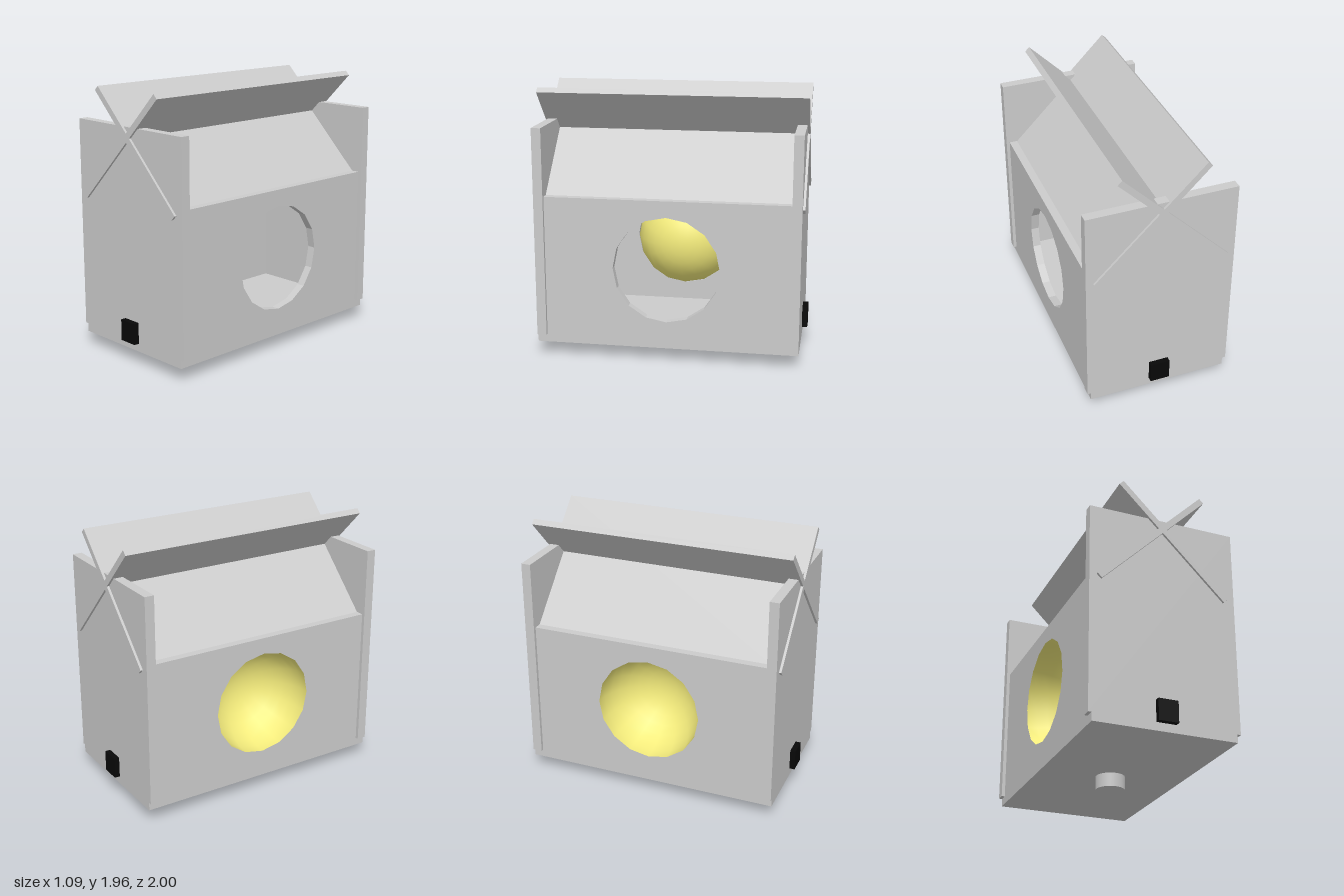
import * as THREE from 'three';

const grey = new THREE.MeshStandardMaterial({ color: 0xcccccc, flatShading: true });
const smoothGrey = new THREE.MeshStandardMaterial({ color: 0xcccccc });
const black = new THREE.MeshStandardMaterial({ color: 0x080808 });
const yellow = new THREE.MeshStandardMaterial({ color: 0xf4ec7c, side: THREE.DoubleSide });

const HOLE_R = 0.39, HOLE_Y = 0.69, SIDES = 16;

export function createModel() {
  const model = new THREE.Group();

  function add(name, geometry, material, x = 0, y = 0, z = 0) {
    const mesh = new THREE.Mesh(geometry, material);
    mesh.name = name;
    mesh.position.set(x, y, z);
    model.add(mesh);
    return mesh;
  }
  const box = (name, w, h, d, material, x, y, z) =>
    add(name, new THREE.BoxGeometry(w, h, d), material, x, y, z);
  const polygon = (points) => new THREE.Shape(points.map(([x, y]) => new THREE.Vector2(x, y)));

  // Floor and the round foot under it
  box('floor', 1.04, 0.06, 1.92, grey, 0, 0.13, 0);
  add('foot', new THREE.CylinderGeometry(0.107, 0.107, 0.1, 32), smoothGrey, 0, 0.05, 0);

  // Side wall: a board with a sixteen-sided opening, extruded along x
  const wallShape = polygon([[-0.89, 0.16], [0.89, 0.16], [0.89, 1.2], [-0.89, 1.2]]);
  const ring = [];
  for (let i = 0; i < SIDES; i++) {
    const a = (i / SIDES) * Math.PI * 2;
    ring.push(new THREE.Vector2(HOLE_R * Math.cos(a), HOLE_Y + HOLE_R * Math.sin(a)));
  }
  wallShape.holes.push(new THREE.Path(ring));
  const wallGeometry = new THREE.ExtrudeGeometry(wallShape, { depth: 0.06, bevelEnabled: false });
  wallGeometry.rotateY(Math.PI / 2);

  // End panel: taller board with a small notch at the floor
  const endShape = polygon([
    [-0.545, 0.16], [-0.072, 0.16], [-0.072, 0.315], [0.072, 0.315],
    [0.072, 0.16], [0.545, 0.16], [0.545, 1.7], [-0.545, 1.7],
  ]);
  const endGeometry = new THREE.ExtrudeGeometry(endShape, { depth: 0.07, bevelEnabled: false });

  for (const s of [1, -1]) {
    const side = s > 0 ? 'left' : 'right';
    const end = s > 0 ? 'front' : 'back';
    add(side + 'Wall', wallGeometry, grey, s > 0 ? 0.46 : -0.52, 0, 0);
    add(end + 'Panel', endGeometry, grey, 0, 0, s > 0 ? 0.89 : -0.96);
    // Black plate covering the notch from outside
    box(end + 'Plate', 0.144, 0.155, 0.04, black, 0, 0.2375, s * 0.98);
    // Roof boards crossing at the ridge
    const board = box(side + 'RoofBoard', 1.115, 0.045, 1.955, grey, s * 0.081, 1.545, 0);
    board.rotation.z = -s * Math.PI / 4;
  }

  // Bowl set into the right wall, bulging into the box
  const bowl = new THREE.SphereGeometry(HOLE_R, SIDES, 8, 0, Math.PI * 2, 0, Math.PI / 2);
  bowl.rotateZ(-Math.PI / 2);
  add('bowl', bowl, yellow, -0.52, HOLE_Y, 0);

  return model;
}
